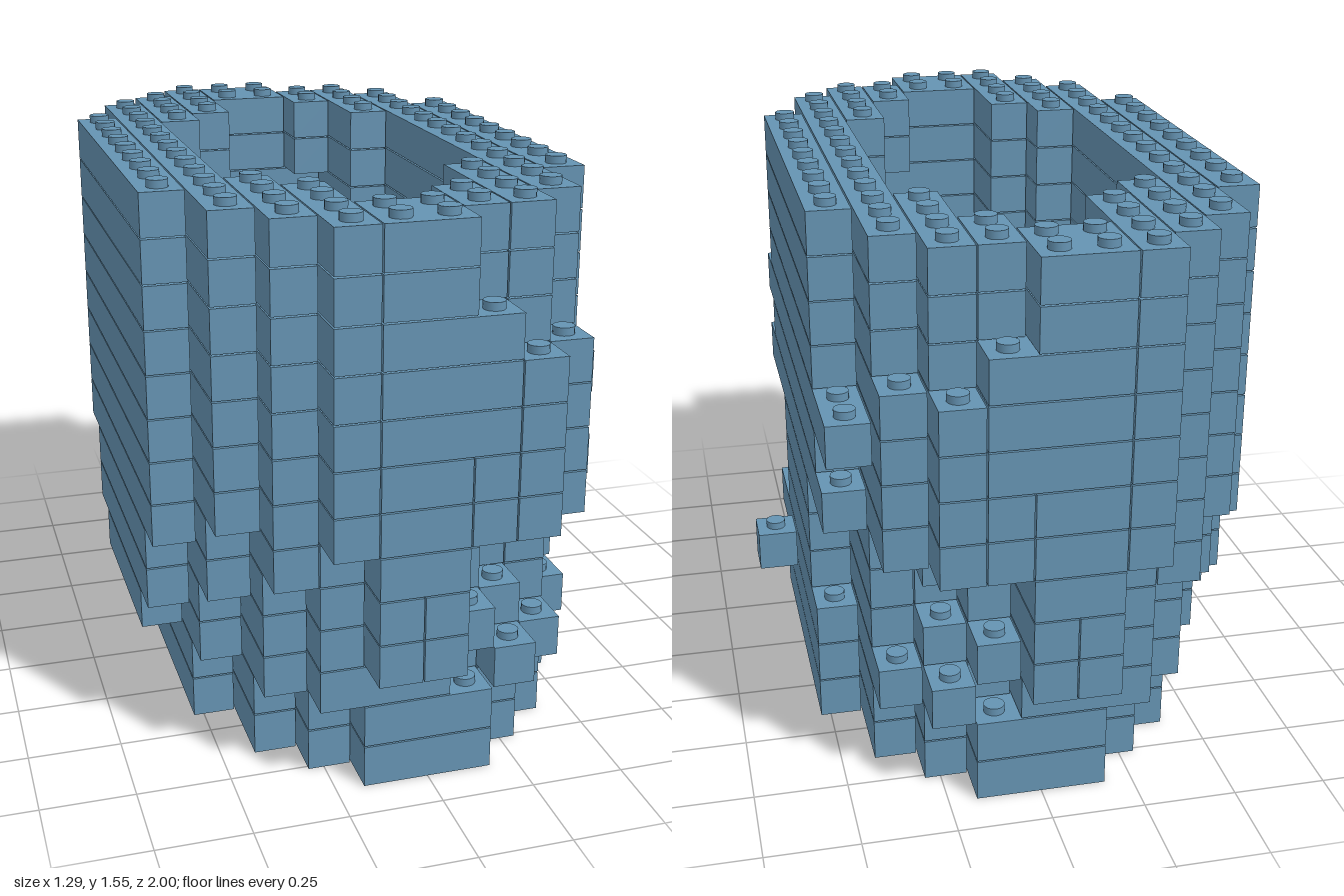
import * as THREE from 'three';
import { mergeGeometries } from 'three/addons/utils/BufferGeometryUtils.js';

const P = 2 / 17;        // stud pitch, also the course height
const GAP = 0.004;       // seam between bricks
const ROWS = 17;

// Front edge (in studs from the back) of each of the ten columns, per course;
// the back edge mirrors it. 0 means the column is empty.
const upper = [13, 15, 16, 17, 17, 17];
const base = [0, 12, 14, 15, 16, 16, 16, 15, 14, 12];
const courses = [
  base,
  base,
  [11, 13, 15, 16, 16, 16, 15, 16, 15, 13],
  [12, 13, 15, 16, 17, 17, 16, 15, 14, 11],
  [12, 14, 15, 16, 17, 17, 15, 14, 14, 11],
  [13, 14, 16, 16, 17, 17, 15, 15, 14, 11],
  [...upper, 17, 17, 16, 14],
  [...upper, 17, 17, 16, 13],
  [...upper, 17, 17, 16, 14],
  [...upper, 17, 17, 16, 13],
  [...upper, 17, 16, 15, 13],
  [...upper, 16, 16, 15, 13],
  [...upper, 16, 16, 15, 13],
];

// Back edges that break the mirror, keyed by course and column
const oddBacks = { '2,9': 5, '8,9': 2 };

// Front edge of the bowl-shaped hollow, per column; it widens upwards
function hollowAt(level) {
  if (level < 3) return null;
  if (level < 5) return [0, 0, 0, 12, 14, 13, 13, 10, 0, 0];
  if (level < 6) return [0, 0, 11, 13, 14, 14, 14, 11, 0, 0];
  const notch = level >= 8 && level <= 10 ? 15 : 14;
  return [0, 0, 12, 13, 15, 15, notch, 12, 0, 0];
}

// Runs [start, end] along z that are filled in one column of a course
function runsOf(level, col) {
  if (col === 10) return level === 2 ? [[9, 10]] : [];
  const front = courses[level][col];
  if (!front) return [];
  const back = oddBacks[`${level},${col}`] ?? ROWS - front;
  const hole = hollowAt(level)?.[col];
  return hole ? [[back, ROWS - hole], [hole, front]] : [[back, front]];
}

const isFilled = (level, col, row) =>
  level < courses.length && runsOf(level, col).some(([a, b]) => row >= a && row < b);

const xAt = (edge) => (edge - 5.5) * P;
const zAt = (edge) => (edge - 8.5) * P;

function brick(level, c0, c1, r0, r1) {
  const g = new THREE.BoxGeometry((c1 - c0) * P - GAP, P - GAP, (r1 - r0) * P - GAP);
  return g.translate(xAt((c0 + c1) / 2), (level + 0.5) * P, zAt((r0 + r1) / 2));
}

function stud(level, col, row) {
  const h = 0.022;
  const g = new THREE.CylinderGeometry(0.028, 0.028, h, 16);
  return g.translate(xAt(col + 0.5), (level + 1) * P - GAP / 2 + h / 2 - 0.001, zAt(row + 0.5));
}

export function createModel() {
  const model = new THREE.Group();
  model.name = 'brickVessel';
  const blue = new THREE.MeshStandardMaterial({ color: 0x6593b2 });
  blue.name = 'sand blue';

  const add = (name, parts) => {
    if (!parts.length) return;
    const mesh = new THREE.Mesh(mergeGeometries(parts), blue);
    mesh.name = name;
    model.add(mesh);
  };

  courses.forEach((_, level) => {
    const bricks = [];
    const studs = [];
    // Neighbouring columns with equal runs become one wider brick
    for (let col = 0; col <= 10;) {
      const runs = runsOf(level, col);
      const key = JSON.stringify(runs);
      let end = col + 1;
      while (end <= 10 && JSON.stringify(runsOf(level, end)) === key) end++;
      for (const [a, b] of runs) bricks.push(brick(level, col, end, a, b));
      col = end;
    }
    // Studs only where nothing sits on top
    for (let col = 0; col <= 10; col++) {
      for (let row = 0; row < ROWS; row++) {
        if (isFilled(level, col, row) && !isFilled(level + 1, col, row)) studs.push(stud(level, col, row));
      }
    }
    add(`course${level + 1}`, bricks);
    add(`studs${level + 1}`, studs);
  });
  return model;
}
